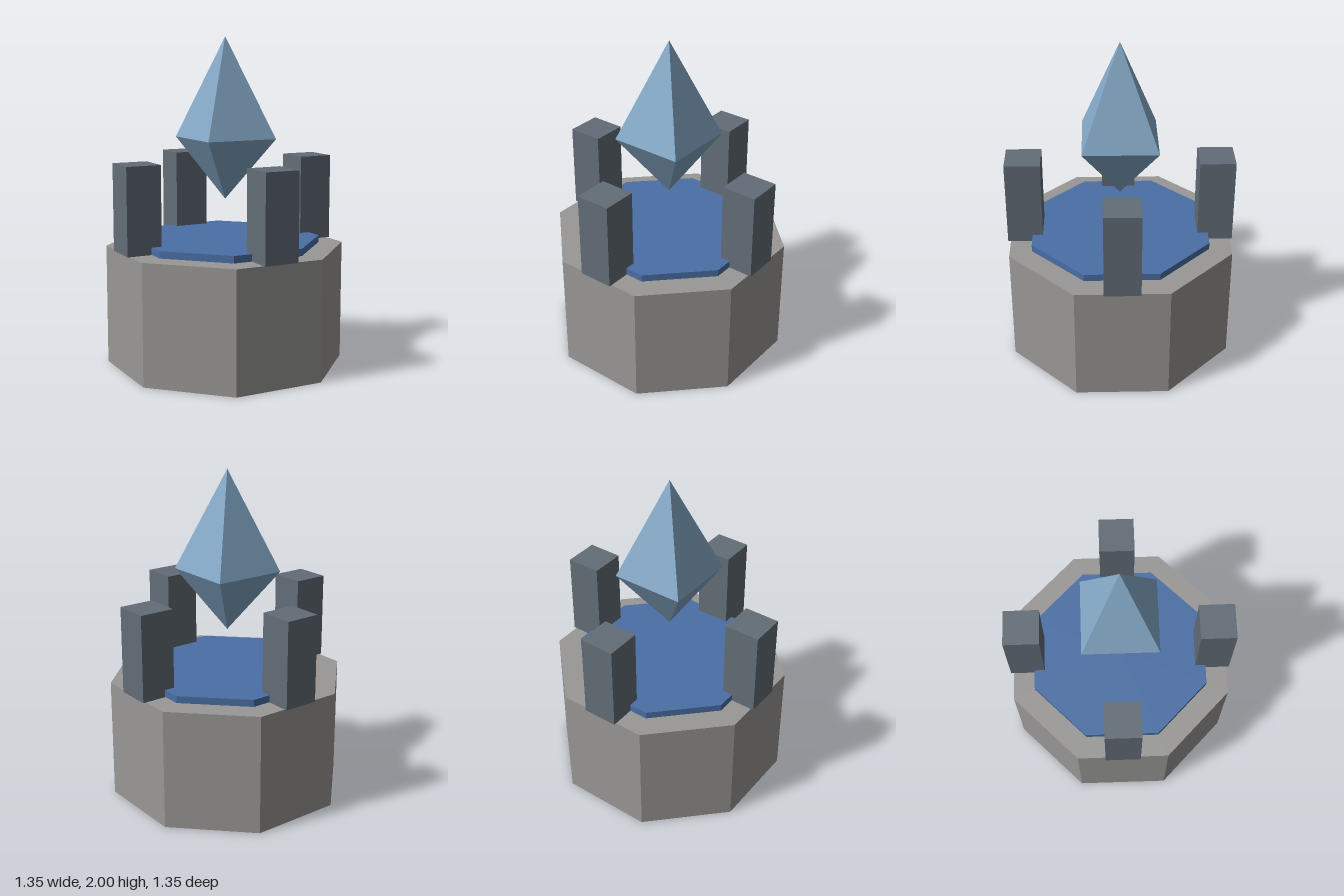
import * as THREE from 'three';

const mat = (name, color, extra = {}) => {
  const m = new THREE.MeshStandardMaterial({ color, flatShading: true, ...extra });
  m.name = name;
  return m;
};

export function createModel() {
  const group = new THREE.Group();
  const stone = mat('stone grey', 0x999896, { side: THREE.DoubleSide });
  const slate = mat('slate grey', 0x636d77);
  const blue = mat('deep blue', 0x4a6fa5);
  const crystalBlue = mat('crystal blue', 0x84a8c6);

  const add = (name, geometry, material, x, y, z, turn = 0) => {
    const mesh = new THREE.Mesh(geometry, material);
    mesh.name = name;
    mesh.position.set(x, y, z);
    mesh.rotation.y = turn;
    group.add(mesh);
    return mesh;
  };

  const eighth = Math.PI / 8;
  const corner = (apothem) => apothem / Math.cos(eighth);
  const baseTop = 0.733;

  // Octagonal base: hollow shell, open underneath, closed on top
  const baseR = corner(0.675);
  add('baseWall', new THREE.CylinderGeometry(baseR, baseR, baseTop, 8, 1, true), stone, 0, baseTop / 2, 0, eighth);
  const lid = new THREE.CircleGeometry(baseR, 8).rotateX(-Math.PI / 2);
  add('baseTop', lid, stone, 0, baseTop, 0, eighth);

  // Raised blue octagonal plate
  const plateR = corner(0.54);
  add('plate', new THREE.CylinderGeometry(plateR, plateR, 0.043, 8), blue, 0, baseTop + 0.0225, 0, eighth);

  // Four square posts turned towards the centre
  const postH = 1.26 - baseTop;
  const post = new THREE.BoxGeometry(0.216, postH, 0.216);
  for (const sx of [-1, 1]) {
    for (const sz of [-1, 1]) {
      add('post', post, slate, sx * 0.413, baseTop + postH / 2, sz * 0.413, Math.PI / 4);
    }
  }

  // Floating four-sided crystal: tall upper point, short lower point
  const waist = 1.39, top = 2.0, tip = 1.015, r = 0.32;
  add('crystalUpper', new THREE.ConeGeometry(r, top - waist, 4, 1, true), crystalBlue, 0, (top + waist) / 2, 0);
  const lower = new THREE.ConeGeometry(r, waist - tip, 4, 1, true).rotateX(Math.PI);
  add('crystalLower', lower, crystalBlue, 0, (waist + tip) / 2, 0);

  return group;
}
